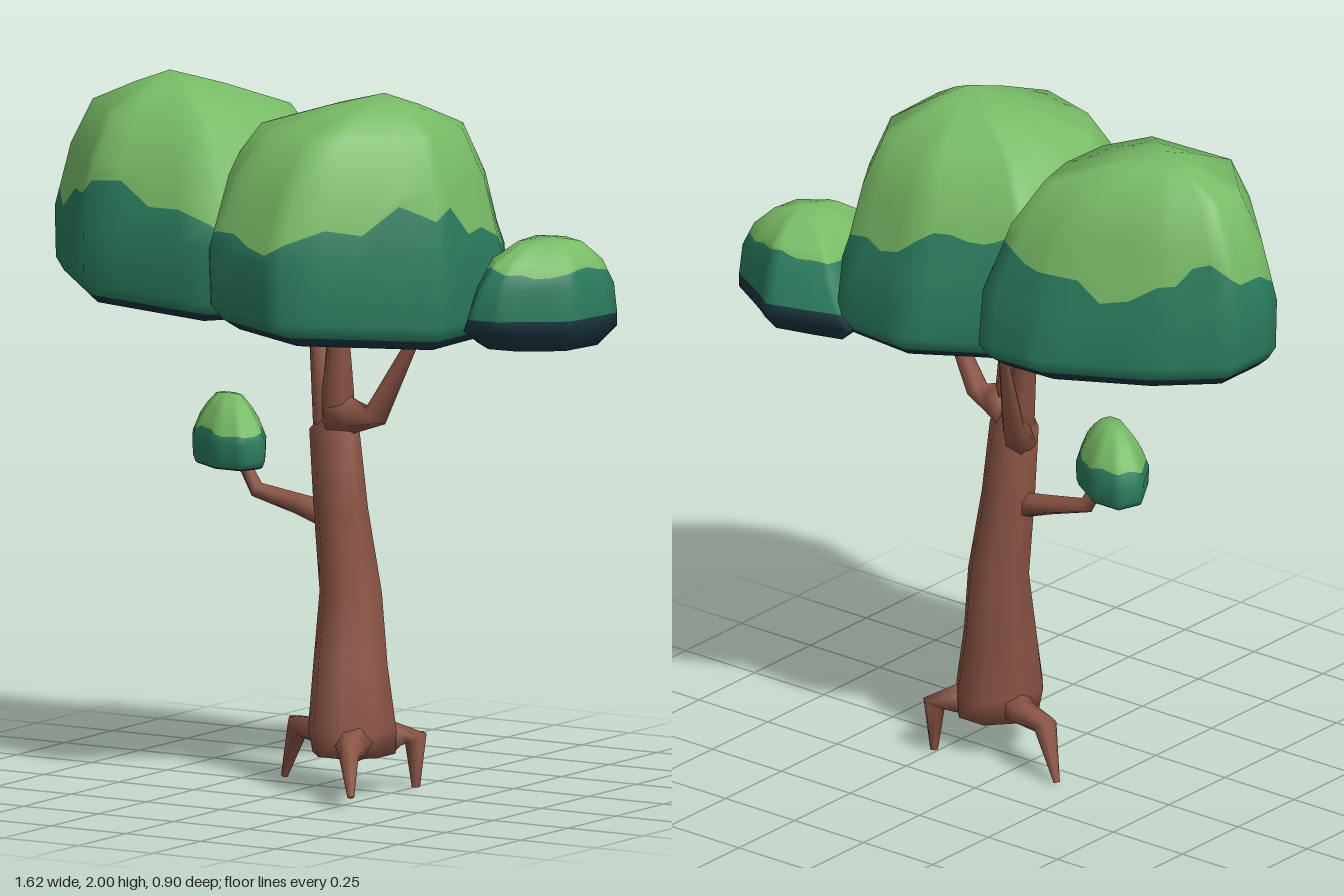
import * as THREE from 'three';

const material = (name, color) => Object.assign(new THREE.MeshStandardMaterial({ color }), { name });
const bark = material('bark brown', 0x8a5444);
const leafLight = material('light leaf green', 0x78bb66);
const leafDark = material('dark leaf green', 0x2b7d5e);
const leafShade = material('underside teal', 0x1b3842);

// Skin equal rings (counter-clockwise about the path) and close both ends.
// bands[i] is the material index between ring i and ring i + 1.
function loft(rings, start, end, bands) {
  const n = rings[0].length;
  const last = rings.length - 1;
  const points = [...rings.flat(), start, end];
  const index = [];
  const geometry = new THREE.BufferGeometry();
  const addBand = (slot, quad) => {
    const from = index.length;
    for (let j = 0; j < n; j++) index.push(...quad(j, (j + 1) % n));
    geometry.addGroup(from, index.length - from, slot);
  };
  const band = (i) => (bands ? bands[i] : 0);
  addBand(band(0), (j, k) => [k, j, n * rings.length]);
  for (let i = 0; i < last; i++) {
    const a = i * n, b = a + n;
    addBand(band(i), (j, k) => [a + j, a + k, b + k, a + j, b + k, b + j]);
  }
  addBand(band(last - 1), (j, k) => [last * n + j, last * n + k, n * rings.length + 1]);
  geometry.setFromPoints(points);
  geometry.setIndex(index);
  geometry.computeVertexNormals();
  return geometry;
}

// Tapered limb through [x, y, z, radius] stations.
function limb(name, stations, sides = 6) {
  const pts = stations.map((s) => new THREE.Vector3(s[0], s[1], s[2]));
  const rings = pts.map((p, i) => {
    const t = pts[Math.min(i + 1, pts.length - 1)].clone().sub(pts[Math.max(i - 1, 0)]).normalize();
    const u = new THREE.Vector3(0.3, 0, 1).cross(t).normalize();
    const v = t.clone().cross(u);
    return Array.from({ length: sides }, (_, j) => {
      const a = (j / sides) * Math.PI * 2;
      return p.clone().addScaledVector(u, Math.cos(a) * stations[i][3]).addScaledVector(v, Math.sin(a) * stations[i][3]);
    });
  });
  const mesh = new THREE.Mesh(loft(rings, pts[0], pts[pts.length - 1]), bark);
  mesh.name = name;
  return mesh;
}

// Foliage clump: an outline [x, z] scaled about its peak by a [t, scale] profile, drawn in
// further on its -x and -z sides by taper, with a wavy edge between dark and light leaves.
function clump(name, { outline, peak, bottom, slope = 0, taper = [0, 0], profile, edge, wave, lobes, phase, shade }) {
  const [px, top, pz] = peak;
  const loop = [];
  const corners = [...outline].reverse();
  corners.forEach(([x, z], i) => {
    const [x2, z2] = corners[(i + 1) % corners.length];
    for (let s = 0; s < 4; s++) loop.push([x + (x2 - x) * s / 4, z + (z2 - z) * s / 4]);
  });
  const scaleAt = (t) => {
    const i = Math.max(1, profile.findIndex((p) => p[0] >= t));
    const [a, b] = [profile[i - 1], profile[i]];
    return THREE.MathUtils.lerp(a[1], b[1], (t - a[0]) / (b[0] - a[0]));
  };
  const ring = (tAt) => loop.map(([x, z]) => {
    const dx = x - px, dz = z - pz;
    const t = tAt(Math.atan2(dz, dx));
    const s = scaleAt(t);
    const draw = Math.min(1, t / 0.45);
    const vx = px + dx * s * (dx < 0 ? 1 - taper[0] * draw : 1);
    const vz = pz + dz * s * (dz < 0 ? 1 - taper[1] * draw : 1);
    return new THREE.Vector3(vx, THREE.MathUtils.lerp(bottom - slope * vx, top, t), vz);
  });
  const wavy = (a) => edge + wave * (Math.sin(lobes * a + phase) * 0.7 + Math.sin(9 * a) * 0.3);
  const levels = profile.map((p) => p[0]);
  const cut = levels.findIndex((t) => t > edge);
  const rings = levels.map((t) => ring(() => t));
  rings.splice(cut, 0, ring(wavy));
  const bands = rings.slice(1).map((_, i) => (i >= cut ? 2 : levels[i] < shade ? 0 : 1));
  const geometry = loft(rings, new THREE.Vector3(px, bottom - slope * px, pz), new THREE.Vector3(px, top, pz), bands);
  const mesh = new THREE.Mesh(geometry, [leafShade, leafDark, leafLight]);
  mesh.name = name;
  return mesh;
}

export function createModel() {
  const tree = new THREE.Group();
  tree.name = 'tree';

  // Trunk: [y, centre x, centre z, radius x, radius z]
  const trunkRings = [
    [0.11, 0.145, 0.03, 0.11, 0.12], [0.18, 0.145, 0.04, 0.115, 0.135], [0.36, 0.125, 0.018, 0.098, 0.108],
    [0.56, 0.105, -0.015, 0.083, 0.088], [0.8, 0.08, -0.002, 0.074, 0.072], [1.02, 0.06, 0, 0.07, 0.06],
  ].map(([y, cx, cz, rx, rz]) => Array.from({ length: 8 }, (_, j) => {
    const a = (j + 0.5) / 8 * Math.PI * 2;
    return new THREE.Vector3(cx + Math.cos(a) * rx * 1.06, y, cz - Math.sin(a) * rz * 1.06);
  }));
  const trunk = new THREE.Mesh(loft(trunkRings, new THREE.Vector3(0.145, 0.1, 0.03), new THREE.Vector3(0.06, 1.1, 0)), bark);
  trunk.name = 'trunk';
  tree.add(trunk);

  // Roots
  tree.add(
    limb('rightRoot', [[0.1, 0.155, 0.02, 0.06], [0.01, 0.15, -0.02, 0.04], [-0.1, 0.155, -0.06, 0.036], [-0.158, 0.003, -0.08, 0.01]]),
    limb('frontRoot', [[0.17, 0.16, 0.06, 0.07], [0.22, 0.15, 0.16, 0.045], [0.275, 0.14, 0.26, 0.03], [0.306, 0.033, 0.3, 0.01]]),
    limb('backRoot', [[0.17, 0.15, 0, 0.06], [0.225, 0.15, -0.06, 0.042], [0.258, 0.145, -0.115, 0.034], [0.262, 0.003, -0.11, 0.012]]),
  );

  // Branches
  tree.add(
    limb('middleBranch', [[0.06, 0.94, 0, 0.05], [0.08, 1.13, 0.012, 0.047], [0.1, 1.4, 0.04, 0.023]]),
    limb('forkBranch', [[0.05, 0.94, 0, 0.05], [0.025, 1.13, -0.01, 0.042], [-0.03, 1.4, -0.035, 0.02]]),
    limb('backBranch', [[0.03, 0.98, -0.01, 0.048], [-0.025, 1.07, -0.11, 0.034], [-0.09, 1.37, -0.24, 0.012]]),
    limb('leftBranch', [[0.07, 1.06, 0, 0.064], [0.13, 1.07, 0.01, 0.052], [0.21, 1.075, 0.02, 0.036], [0.38, 1.37, 0.03, 0.012]]),
    limb('lowBranch', [[0.06, 0.77, 0, 0.042], [-0.06, 0.8, 0.005, 0.03], [-0.19, 0.83, 0.015, 0.024], [-0.25, 0.94, 0.02, 0.018]]),
  );

  // Foliage
  const big = {
    bottom: 1.335, slope: 0.07, taper: [0, 0.15], edge: 0.48, wave: 0.12, shade: 0.04,
    profile: [[0, 0.83], [0.04, 0.92], [0.1, 0.99], [0.34, 1], [0.64, 0.86], [0.85, 0.67], [0.94, 0.3]],
  };
  tree.add(clump('rightCanopy', {
    ...big, peak: [-0.49, 2, 0], lobes: 3, phase: Math.PI,
    outline: [[-0.81, -0.1], [-0.62, -0.24], [-0.29, -0.36], [-0.07, -0.34], [-0.02, -0.1], [-0.03, 0.15], [-0.13, 0.35], [-0.55, 0.36], [-0.81, 0.1]],
  }));
  tree.add(clump('leftCanopy', {
    ...big, peak: [0.24, 2, 0.02], lobes: 2, phase: 0.35,
    outline: [[-0.27, -0.05], [-0.2, -0.29], [-0.07, -0.34], [0.14, -0.43], [0.42, -0.37], [0.51, -0.2], [0.52, 0.16], [0.17, 0.46], [-0.12, 0.37], [-0.26, 0.2]],
  }));
  tree.add(clump('sideCanopy', {
    peak: [0.66, 1.595, -0.21], bottom: 1.285, taper: [0.4, 0.2], lobes: 3, phase: 1, edge: 0.72, wave: 0.05, shade: 0.3,
    profile: [[0, 0.66], [0.18, 0.98], [0.3, 1], [0.58, 0.97], [0.8, 0.78], [0.96, 0.45]],
    outline: [[0.3, -0.38], [0.42, -0.415], [0.6, -0.46], [0.81, -0.32], [0.785, -0.1], [0.61, 0.02], [0.48, 0.03], [0.34, -0.1]],
  }));
  const oval = Array.from({ length: 8 }, (_, j) => {
    const a = j / 8 * Math.PI * 2 + 0.2;
    const u = Math.cos(a) * 0.185, v = Math.sin(a) * 0.1;
    return [-0.275 + 0.78 * u - 0.62 * v, 0.025 + 0.62 * u + 0.78 * v];
  });
  tree.add(clump('lowFoliage', {
    peak: [-0.275, 1.098, 0.025], bottom: 0.9, lobes: 3, phase: 2, edge: 0.52, wave: 0.06, shade: 0.02,
    profile: [[0, 0.86], [0.03, 0.92], [0.12, 0.98], [0.38, 1], [0.65, 0.8], [0.82, 0.6], [0.98, 0.36]],
    outline: oval,
  }));
  return tree;
}
